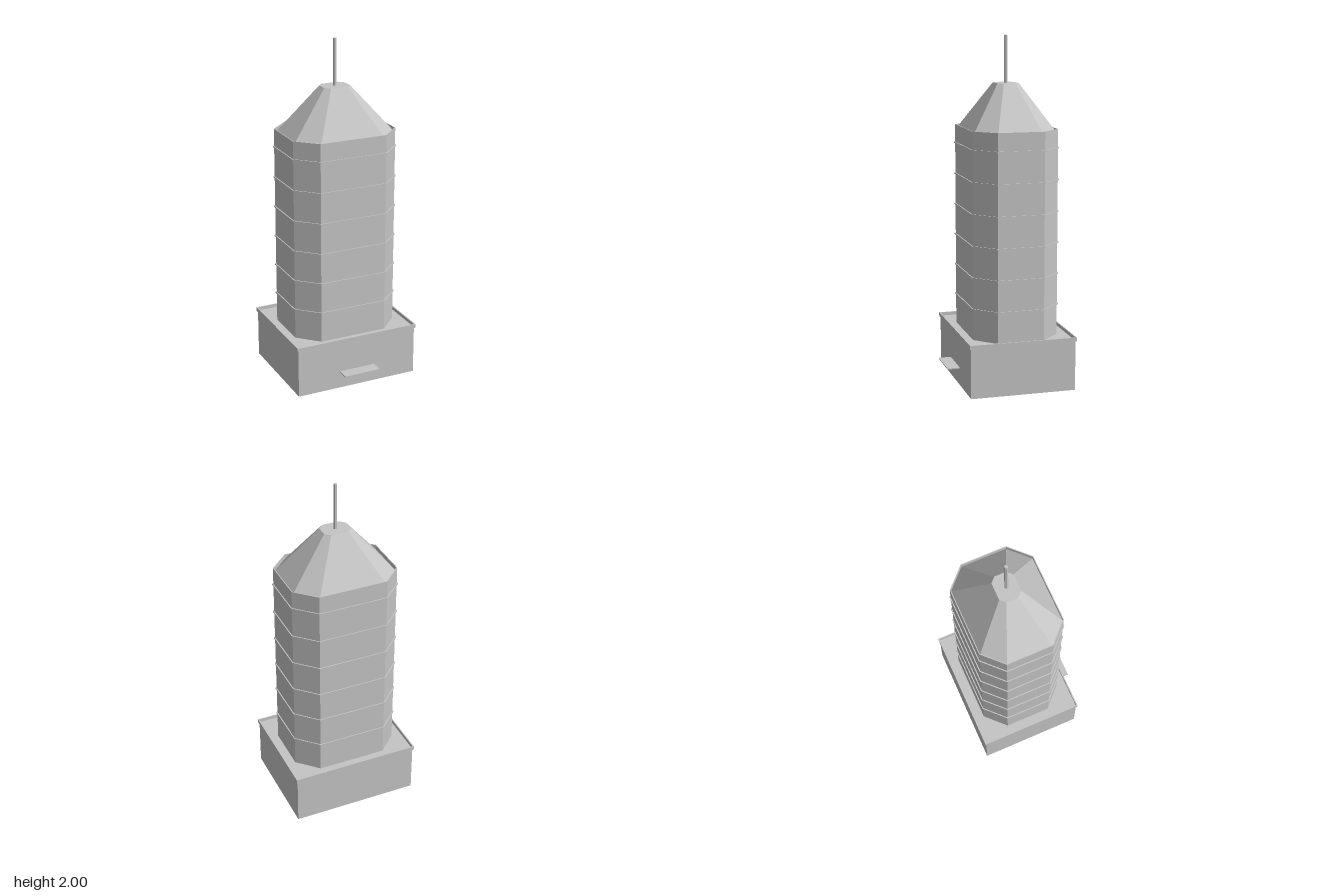
import * as THREE from 'three';

const CZ = -0.034; // depth of the tower axis

// Chamfered rectangle outline: half sizes a, b and half lengths of the front and side edges, grown by d
function octagon(a, b, front, side, d = 0) {
  const k = d * Math.tan(Math.PI / 8);
  const A = a + d, B = b + d, F = front + k, S = side + k;
  return [[F, B], [A, S], [A, -S], [F, -B], [-F, -B], [-A, -S], [-A, S], [-F, B]];
}
const body = (d) => octagon(0.312, 0.244, 0.2, 0.134, d);
const rect = (a, b) => [[a, b], [a, -b], [-a, -b], [-a, b]];

// Flat-faced skin through a list of [outline, y] sections, with an optional flat lid on the last one
function loft(sections, lid = false) {
  const pos = [];
  const put = ([x, z], y) => pos.push(x, y, z + CZ);
  for (let s = 0; s < sections.length - 1; s++) {
    const [lo, y0] = sections[s], [hi, y1] = sections[s + 1];
    lo.forEach((p, i) => {
      const j = (i + 1) % lo.length;
      put(p, y0); put(lo[j], y0); put(hi[j], y1);
      put(p, y0); put(hi[j], y1); put(hi[i], y1);
    });
  }
  if (lid) {
    const [top, y] = sections[sections.length - 1];
    for (let i = 1; i < top.length - 1; i++) {
      put(top[0], y); put(top[i], y); put(top[i + 1], y);
    }
  }
  const geo = new THREE.BufferGeometry();
  geo.setAttribute('position', new THREE.Float32BufferAttribute(pos, 3));
  geo.computeVertexNormals();
  return geo;
}

export function createModel() {
  const model = new THREE.Group();
  const grey = new THREE.MeshStandardMaterial({ color: 0xc4c4c4, side: THREE.DoubleSide });
  grey.name = 'concrete grey';
  const add = (name, geo) => {
    const mesh = new THREE.Mesh(geo, grey);
    mesh.name = name;
    model.add(mesh);
    return mesh;
  };

  // Podium: hollow box, open below, with a thin overhanging rim around a sunken deck
  const wall = rect(0.373, 0.306), rim = rect(0.38, 0.313);
  add('podiumWalls', loft([[wall, 0], [wall, 0.29]], true));
  add('podiumRim', loft([[wall, 0.287], [rim, 0.287], [rim, 0.31], [wall, 0.31], [wall, 0.29]]));

  // Entrance canopy
  add('entranceCanopy', new THREE.BoxGeometry(0.222, 0.006, 0.073)).position.set(0, 0.102, 0.3085);

  // Tower shaft with a low parapet
  add('towerShaft', loft([[body(0.005), 0.29], [body(0.005), 1.48], [body(0), 1.48], [body(0), 1.456]]));

  // Floor ledges
  for (let i = 0; i < 6; i++) {
    const y = 0.469 + i * 0.181, h = 0.004;
    add('floorLedge', loft([[body(0.004), y - h], [body(0.011), y - h], [body(0.011), y + h], [body(0.004), y + h]]));
  }

  // Eight-sided hipped roof with a flat top
  add('roof', loft([[body(0), 1.456], [octagon(0.08, 0.063, 0.051, 0.034), 1.73]], true));

  // Six-sided mast
  const mast = new THREE.CylinderGeometry(0.0105, 0.0105, 0.27, 6).toNonIndexed();
  mast.computeVertexNormals();
  const mastMesh = add('mast', mast);
  mastMesh.rotation.y = Math.PI / 6;
  mastMesh.position.set(0, 1.865, CZ);

  return model;
}
